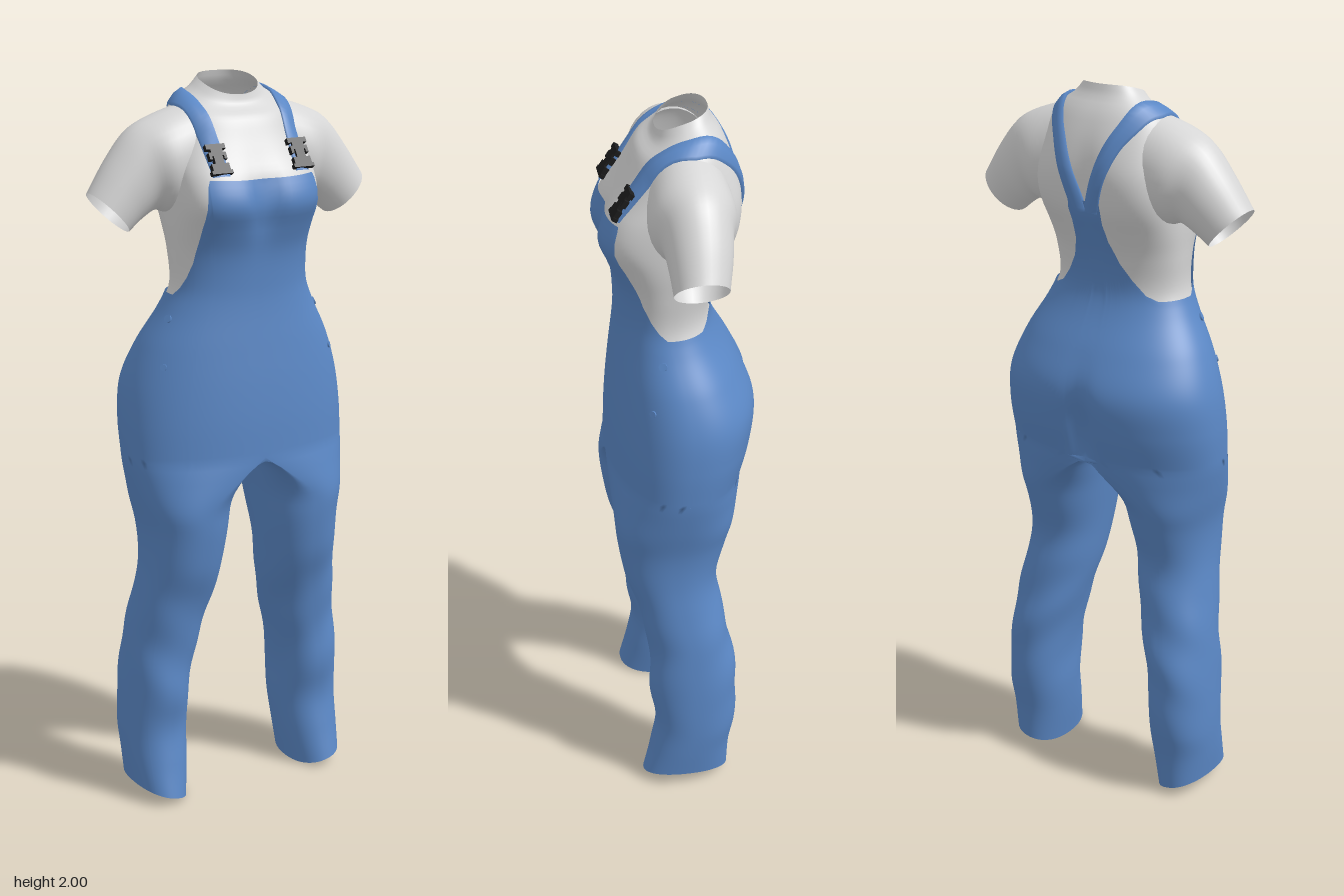
import * as THREE from 'three';
import { mergeGeometries, mergeVertices } from 'three/addons/utils/BufferGeometryUtils.js';

const rad = THREE.MathUtils.degToRad;
const bell = (v, mid, width) => Math.exp(-(((v - mid) / width) ** 2));

// Smooth lookup in a table whose first column is the key
function sample(table, k) {
  const n = table.length;
  k = THREE.MathUtils.clamp(k, table[0][0], table[n - 1][0]);
  let i = 0;
  while (i < n - 2 && k > table[i + 1][0]) i++;
  const a = table[i], b = table[i + 1], p = table[Math.max(i - 1, 0)], q = table[Math.min(i + 2, n - 1)];
  const h = b[0] - a[0], t = (k - a[0]) / h, t2 = t * t, t3 = t2 * t;
  return a.slice(1).map((v, c) => {
    c++;
    const m0 = (b[c] - p[c]) / (b[0] - p[0]) * h, m1 = (q[c] - a[c]) / (q[0] - a[0]) * h;
    return v * (2 * t3 - 3 * t2 + 1) + m0 * (t3 - 2 * t2 + t) + b[c] * (3 * t2 - 2 * t3) + m1 * (t3 - t2);
  });
}

// Figure profile: y, inner x, outer x, front z, back z
const FIGURE = [
  [0, .18, .325, .13, -.115], [.1, .165, .332, .108, -.12], [.2, .156, .335, .092, -.135],
  [.3, .154, .332, .103, -.14], [.4, .14, .325, .106, -.135], [.5, .115, .315, .11, -.12],
  [.6, .09, .3, .135, -.1], [.7, .075, .288, .165, -.09], [.8, .06, .29, .183, -.115],
  [.9, .045, .31, .19, -.145], [.97, .03, .322, .191, -.167], [1, 0, .325, .19, -.175],
  [1.1, 0, .325, .187, -.2], [1.2, 0, .312, .18, -.207], [1.3, 0, .275, .17, -.165],
  [1.4, 0, .22, .16, -.11], [1.46, 0, .197, .158, -.092], [1.55, 0, .198, .165, -.105],
  [1.62, 0, .203, .187, -.13], [1.68, 0, .205, .207, -.155], [1.75, 0, .205, .185, -.168],
  [1.8, 0, .202, .153, -.168], [1.86, 0, .19, .12, -.155], [1.92, 0, .17, .095, -.132],
  [1.95, 0, .145, .075, -.115], [1.97, 0, .115, .062, -.1], [2, 0, .087, .055, -.09],
];

// Point on the figure at height y and angle a (0 = side, 90 = front)
function figure(y, a, off = 0) {
  let [xi, xo, zf, zb] = sample(FIGURE, y);
  if (y >= 1) xi = 0;
  const p = .9 - .33 * bell(y, 1.72, .12);
  const c = Math.cos(a), s = Math.sin(a);
  const cp = Math.sign(c) * Math.abs(c) ** p, sp = Math.sign(s) * Math.abs(s) ** p;
  xo += off;
  // Half-round at the crotch, turning into a rounded leg below
  const k = THREE.MathUtils.smoothstep(y, .84, 1);
  const half = xi + (xo - xi) * (y >= 1 ? cp : Math.max(0, cp));
  const x = THREE.MathUtils.lerp((xi + xo) / 2 + (xo - xi) / 2 * cp, half, k);
  let z = (zf + zb) / 2 + ((zf - zb) / 2 + off) * sp;
  // Hollows between the bust, down the spine and between the buttocks
  if (s > 0) z -= s * s * .022 * bell(x, 0, .04) * bell(y, 1.68, .08);
  else z += s * s * (.03 * bell(x, 0, .045) * bell(y, 1.08, .12) + .01 * bell(x, 0, .04) * bell(y, 1.75, .1));
  // Soft cloth folds on the lower legs
  z += .004 * Math.sin(y * 34 + 2 * a) * bell(y, .45, .22);
  // Lower neckline in front, slanted hem at the ankle
  const neck = THREE.MathUtils.smoothstep(y, 1.86, 2) * .05 * ((1 + s) / 2) ** 1.6;
  const hem = .045 * (1 + c) / 2 * Math.max(0, 1 - y / .2);
  return [x, y - neck + hem, z];
}

// Grid surface from fn(i, j)
function sheet(fn, nu, nv) {
  const pos = [], idx = [];
  for (let j = 0; j <= nv; j++) for (let i = 0; i <= nu; i++) pos.push(...fn(i, j));
  for (let j = 0; j < nv; j++) for (let i = 0; i < nu; i++) {
    const a = j * (nu + 1) + i, b = a + 1, c = a + nu + 1, d = c + 1;
    idx.push(a, c, b, b, c, d);
  }
  const g = new THREE.BufferGeometry();
  g.setAttribute('position', new THREE.Float32BufferAttribute(pos, 3));
  g.setIndex(idx);
  return g;
}

function mirror(g) {
  const m = g.clone().scale(-1, 1, 1);
  m.setIndex(Array.from(g.index.array).reverse());
  return m;
}

function weld(...parts) {
  const g = mergeVertices(mergeGeometries(parts), 1e-4);
  g.computeVertexNormals();
  return g;
}

// Upper edge of the overalls: angle, height
const EDGE = [[-90, 1.71], [-85.6, 1.72], [-83.7, 1.65], [-80, 1.6], [-72, 1.54], [-62, 1.495], [-50, 1.455],
  [-38, 1.44], [5, 1.44], [14, 1.46], [23, 1.49], [31.5, 1.53], [39, 1.6], [46, 1.68], [51, 1.74], [53, 1.752], [90, 1.748]];

// Sleeve sections: step, top x, top y, bottom x, bottom y, front z, back z
const SLEEVE = [[0, .12, 1.935, .13, 1.66, .09, -.12], [1, .22, 1.905, .19, 1.65, .095, -.125],
  [2, .29, 1.87, .225, 1.658, .072, -.108], [3, .35, 1.8, .265, 1.638, .062, -.098], [4, .408, 1.715, .305, 1.608, .056, -.082]];

// Strap route over the shoulder: angle around the shoulder, x
const STRAP = [[12, .12], [34, .122], [55, .126], [75, .134], [92, .14], [112, .118], [133, .08], [160, .046], [180, .028], [196, .02]];

export function createModel() {
  const model = new THREE.Group();
  const mat = (name, color) => Object.assign(new THREE.MeshStandardMaterial({ color, side: THREE.DoubleSide }), { name });
  const denim = mat('denim blue', 0x5b88c6), cotton = mat('light grey cotton', 0xd6d6d6), plastic = mat('black plastic', 0x1c1c1c);
  const add = (name, geo, material, parent = model) => {
    const m = new THREE.Mesh(geo, material);
    m.name = name;
    parent.add(m);
    return m;
  };

  // Overalls: half of the seat and bib plus one leg, mirrored and welded
  const angles = [];
  EDGE.slice(1).forEach(([a], i) => {
    const from = EDGE[i][0], n = Math.max(2, Math.ceil((a - from) / 3));
    for (let k = 0; k < n; k++) angles.push(from + (a - from) * k / n);
  });
  angles.push(90);
  const top = a => {
    const i = Math.min(EDGE.findIndex((e, n) => n && a <= e[0]), EDGE.length - 1);
    const [a0, y0] = EDGE[i - 1], [a1, y1] = EDGE[i];
    return y0 + (y1 - y0) * (a - a0) / (a1 - a0);
  };
  const upper = sheet((i, j) => figure(1 + (top(angles[i]) - 1) * j / 44, rad(angles[i])), angles.length - 1, 44);
  const around = [...angles];
  for (let a = 95; a <= 270; a += 5) around.push(a);
  const leg = sheet((i, j) => figure(j / 56, rad(around[i])), around.length - 1, 56);
  add('overalls', weld(upper, mirror(upper), leg, mirror(leg)), denim);

  // Shirt
  const torso = add('shirtBody', weld(sheet((i, j) => figure(1.36 + .64 * j / 44, rad(i * 3.75 - 90), -.006), 96, 44)), cotton);
  const sleeve = sheet((i, j) => {
    const [tx, ty, bx, by, zf, zb] = sample(SLEEVE, j / 5), u = i / 32 * Math.PI * 2, c = Math.cos(u) / 2;
    return [(tx + bx) / 2 + c * (tx - bx), (ty + by) / 2 + c * (ty - by), (zf + zb) / 2 - Math.sin(u) * (zf - zb) / 2];
  }, 32, 20);
  const leftSleeve = add('leftSleeve', weld(sleeve), cotton);
  add('rightSleeve', weld(mirror(sleeve)), cotton);

  // Find the shirt surface around the shoulder, then lift off it
  const ray = new THREE.Raycaster();
  const onShirt = (x, deg, lift) => {
    const d = new THREE.Vector3(0, Math.sin(rad(deg)), Math.cos(rad(deg))), centre = new THREE.Vector3(x, 1.72, -.02);
    ray.set(centre.clone().add(d), d.clone().negate());
    const hit = ray.intersectObjects([torso, leftSleeve])[0];
    return (hit ? hit.point : centre.addScaledVector(d, .17)).addScaledVector(d, lift);
  };

  // Straps
  const section = [[-1, 0], [-1, .01], [0, .012], [1, .01], [1, 0]];
  const strap = sheet((i, j) => {
    const deg = 12 + 184 * j / 50, [x] = sample(STRAP, deg), [side, lift] = section[i];
    return onShirt(x + side * .02, deg, lift).toArray();
  }, 4, 50);
  add('leftStrap', weld(strap), denim);
  add('rightStrap', weld(mirror(strap)), denim);

  // Buckles and hip buttons on both sides
  const BUCKLE = [[0, .034, .056, .014], [0, .018, .034, .02], [0, -.002, .026, .03], [0, -.024, .05, .02],
    [-.021, .008, .008, .02], [.021, .008, .008, .02], [0, -.038, .06, .01]];
  for (const side of [1, -1]) {
    const label = side > 0 ? 'left' : 'right';
    const buckle = new THREE.Group();
    buckle.name = label + 'Buckle';
    for (const [x, y, w, h] of BUCKLE) add('bucklePart', new THREE.BoxGeometry(w, h, .014).translate(x, y, 0), plastic, buckle);
    buckle.position.copy(onShirt(.121, 26, .014));
    buckle.position.x *= side;
    buckle.rotation.x = -.6;
    model.add(buckle);

    for (const [y, deg, r] of [[1.38, 15, .011], [1.26, 31, .009]]) {
      const at = (dy, da) => new THREE.Vector3(...figure(y + dy, rad(deg + da)));
      const p = at(0, 0), n = at(.01, 0).sub(p).cross(at(0, 2).sub(p)).normalize();
      p.x *= side;
      n.x *= side;
      const button = add(label + 'HipButton', new THREE.CylinderGeometry(r, r, .008, 16).rotateX(Math.PI / 2), denim);
      button.position.copy(p);
      button.lookAt(p.clone().add(n));
    }
  }
  return model;
}
